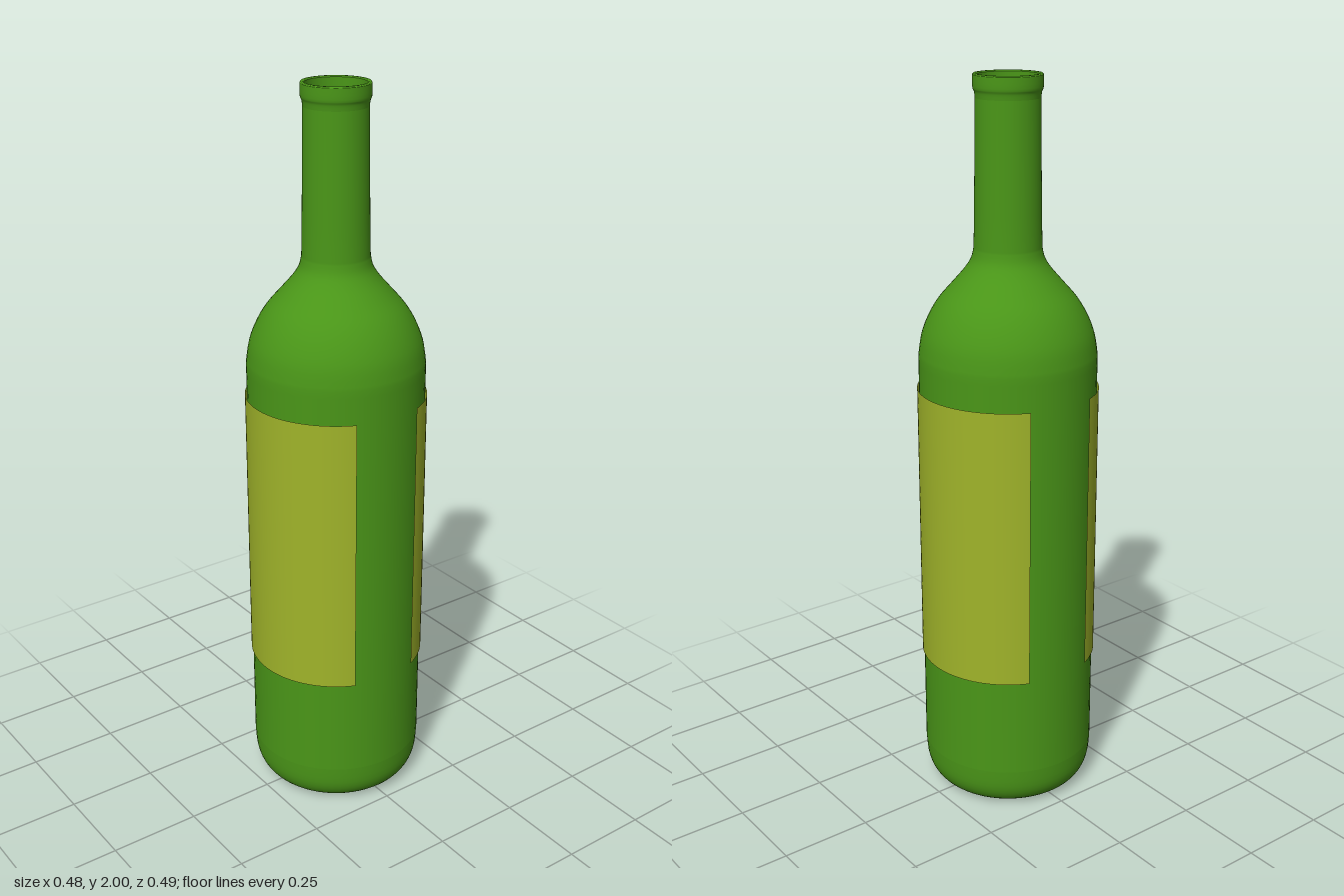
import * as THREE from 'three';

const SEGMENTS = 64;
const v = ([r, y]) => new THREE.Vector2(r, y);

// Smooth curve through a few [radius, height] points
const smooth = (points, n) => new THREE.SplineCurve(points.map(v)).getPoints(n);

function addLathe(group, name, points, material) {
  const mesh = new THREE.Mesh(new THREE.LatheGeometry(points, SEGMENTS), material);
  mesh.name = name;
  group.add(mesh);
}

export function createModel() {
  const group = new THREE.Group();
  group.name = 'bottle';
  const glass = new THREE.MeshStandardMaterial({ color: 0x4a9618, side: THREE.DoubleSide });
  const paper = new THREE.MeshStandardMaterial({ color: 0xa0b42a, side: THREE.DoubleSide });

  // Hollow under the base, then the rounded foot
  addLathe(group, 'base', [
    ...smooth([[0, 0.13], [0.05, 0.122], [0.1, 0.092], [0.135, 0.04], [0.152, 0.008], [0.175, 0]], 20),
    ...smooth([[0.175, 0], [0.205, 0.012], [0.225, 0.036], [0.236, 0.07], [0.24, 0.12]], 12).slice(1),
  ], glass);

  // Straight body, shoulder and neck
  addLathe(group, 'body', [
    v([0.24, 0.12]), v([0.24, 0.7]), v([0.24, 1.25]),
    ...smooth([[0.24, 1.27], [0.231, 1.325], [0.212, 1.375], [0.185, 1.42], [0.148, 1.463],
      [0.116, 1.5], [0.097, 1.53], [0.09, 1.56]], 28),
    v([0.088, 1.65]), v([0.084, 1.94]),
  ], glass);

  // Raised lip
  addLathe(group, 'lip', smooth([[0.084, 1.94], [0.086, 1.955], [0.09, 1.966], [0.09, 1.997]], 10), glass);
  addLathe(group, 'rim', [v([0.09, 1.997]), v([0.088, 2]), v([0.082, 2]), v([0.08, 1.997])], glass);

  // Inner wall, from the mouth down to the raised floor
  addLathe(group, 'innerWall', [
    v([0.08, 1.997]), v([0.08, 1.56]),
    ...smooth([[0.088, 1.53], [0.138, 1.46], [0.2, 1.375], [0.23, 1.27]], 14),
    v([0.23, 0.12]),
    ...smooth([[0.222, 0.06], [0.18, 0.02], [0.145, 0.06], [0.1, 0.11], [0, 0.14]], 14),
  ], glass);

  // Wrapped labels, front and back
  const halfAngle = 1.16;
  for (const [name, centre] of [['frontLabel', 0], ['backLabel', Math.PI]]) {
    const label = new THREE.Mesh(
      new THREE.CylinderGeometry(0.245, 0.245, 0.78, 40, 1, true, centre - halfAngle, halfAngle * 2), paper);
    label.name = name;
    label.position.y = 0.79;
    group.add(label);
  }
  return group;
}
